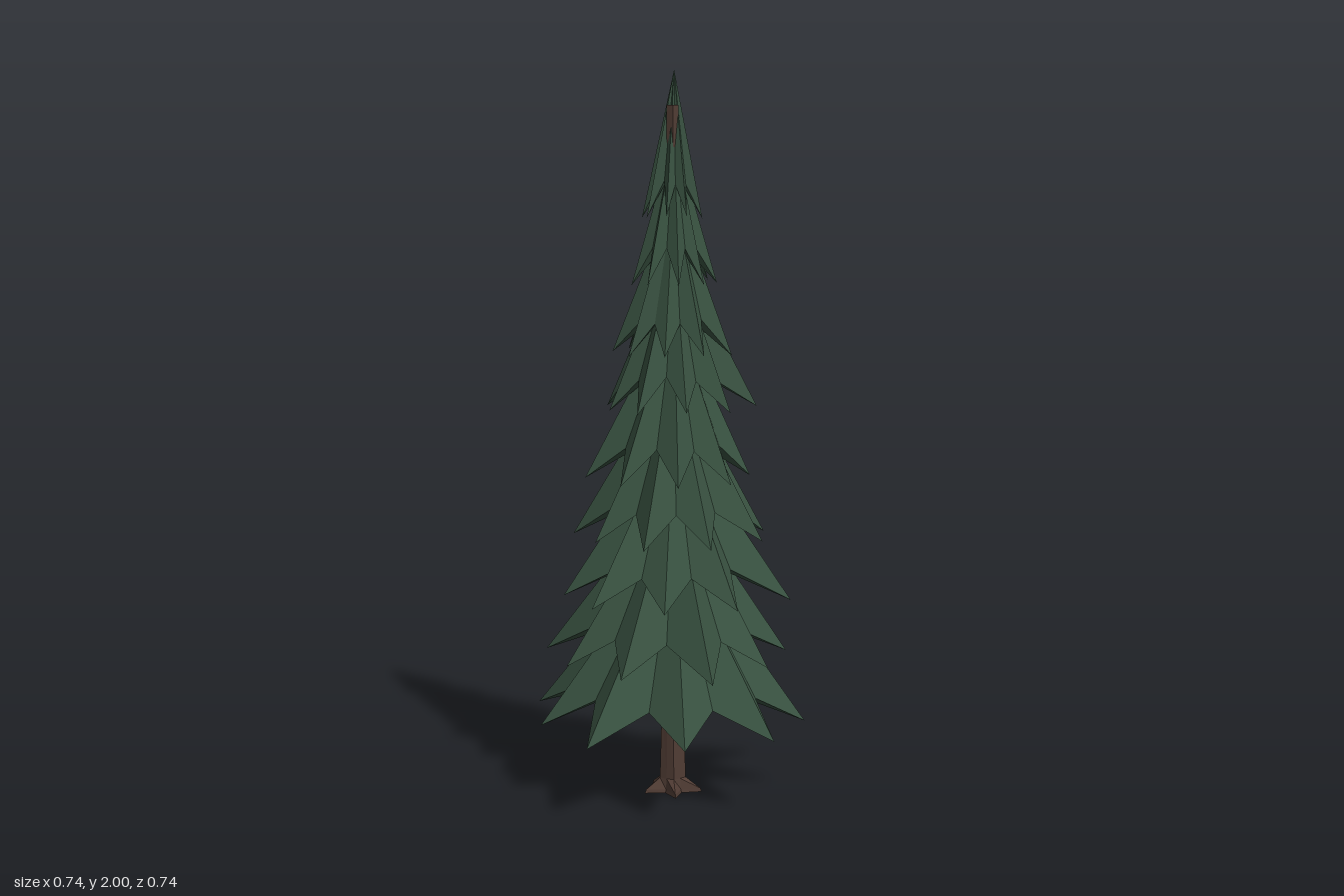
import * as THREE from 'three';

const TIPS = 9;

// small seeded generator for natural variation
function seeded(seed) {
  return () => {
    seed = (seed * 16807) % 2147483647;
    return seed / 2147483647;
  };
}

function facetedMesh(name, triangles, material) {
  const geometry = new THREE.BufferGeometry();
  geometry.setAttribute('position', new THREE.Float32BufferAttribute(triangles, 3));
  geometry.computeVertexNormals();
  const mesh = new THREE.Mesh(geometry, material);
  mesh.name = name;
  return mesh;
}

// angle in degrees, measured from +x towards +z
function polar(cx, cz, angle, radius, y) {
  const a = THREE.MathUtils.degToRad(angle);
  return [cx + radius * Math.cos(a), y, cz + radius * Math.sin(a)];
}

// tiers from bottom up: tip height, apex height, first tip angle,
// notch radius, notch rise above the tips, tip radii
const TIERS = [
  [0.205, 0.72, 6, 0.25, 0.075, [0.374, 0.388, 0.367, 0.399, 0.373, 0.414, 0.407, 0.347, 0.412]],
  [0.385, 0.87, 35, 0.22, 0.075, [0.314, 0.379, 0.34, 0.32, 0.361, 0.362, 0.322, 0.356, 0.324]],
  [0.555, 1.03, 15.5, 0.195, 0.08, [0.337, 0.3, 0.29, 0.31, 0.3, 0.29, 0.3, 0.311, 0.289]],
  [0.725, 1.2, 28, 0.165, 0.08, [0.275, 0.26, 0.27, 0.25, 0.275, 0.27, 0.255, 0.26, 0.265]],
  [0.89, 1.36, 8, 0.145, 0.085, [0.215, 0.23, 0.245, 0.235, 0.245, 0.24, 0.23, 0.225, 0.235]],
  [1.08, 1.53, 0, 0.12, 0.085, [0.232, 0.2, 0.185, 0.2, 0.185, 0.19, 0.175, 0.2, 0.2]],
  [1.23, 1.67, 20, 0.098, 0.09, [0.17, 0.16, 0.15, 0.16, 0.165, 0.155, 0.16, 0.15, 0.165]],
  [1.42, 1.83, 5, 0.072, 0.09, [0.12, 0.115, 0.13, 0.125, 0.118, 0.12, 0.13, 0.115, 0.12]],
  [1.6, 2.0, 25, 0.046, 0.09, [0.085, 0.08, 0.082, 0.09, 0.086, 0.08, 0.088, 0.09, 0.08]],
];

// star-shaped skirt: sharp ridges run to the tips, valleys to the notches
function branchTier([tipY, apexY, phase, notch, rise, radii], index, material, random) {
  const offset = 0.005 * tipY;
  const rim = [];
  radii.forEach((r, i) => {
    const angle = phase + (i * 360) / TIPS;
    rim.push(polar(offset, -offset, angle, r, tipY + 0.01 * random()));
    rim.push(polar(offset, -offset, angle + 180 / TIPS, notch * (0.95 + 0.1 * random()),
      tipY + rise + 0.015 * random()));
  });
  const apex = [0.01, apexY, -0.01];
  const under = [offset, tipY + 0.135, -offset];
  const triangles = [];
  rim.forEach((a, i) => {
    const b = rim[(i + 1) % rim.length];
    triangles.push(...apex, ...b, ...a, ...under, ...a, ...b);
  });
  return facetedMesh('branchTier' + (index + 1), triangles, material);
}

// fluted, tapering trunk with five pointed roots at the foot
function trunk(material) {
  const sides = 10;
  // height, ridge radius, groove radius
  const rings = [
    [0, 0.084, 0.038],
    [0.01, 0.08, 0.036],
    [0.04, 0.038, 0.032],
    [0.25, 0.032, 0.028],
    [1.905, 0.017, 0.014],
  ].map(([y, ridge, groove]) => Array.from({ length: sides }, (_, i) =>
    polar(0.005, 0.007, 14 + (i * 360) / sides, i % 2 ? groove : ridge, y)));
  const top = rings[rings.length - 1];
  const triangles = [];
  for (let i = 0; i < sides; i++) {
    const j = (i + 1) % sides;
    for (let k = 0; k < rings.length - 1; k++) {
      const a = rings[k][i], b = rings[k][j], c = rings[k + 1][j], d = rings[k + 1][i];
      triangles.push(...a, ...c, ...b, ...a, ...d, ...c);
    }
    // closed top and bottom
    triangles.push(0.005, 1.905, 0.007, ...top[j], ...top[i]);
    triangles.push(0.005, 0, 0.007, ...rings[0][i], ...rings[0][j]);
  }
  return facetedMesh('trunk', triangles, material);
}

export function createModel() {
  const foliage = new THREE.MeshStandardMaterial({ color: 0x385140 });
  foliage.name = 'needleGreen';
  const bark = new THREE.MeshStandardMaterial({ color: 0x503c34 });
  bark.name = 'barkBrown';

  const random = seeded(4711);
  const tree = new THREE.Group();
  tree.name = 'firTree';
  tree.add(trunk(bark));
  const crown = new THREE.Group();
  crown.name = 'crown';
  TIERS.forEach((tier, i) => crown.add(branchTier(tier, i, foliage, random)));
  tree.add(crown);
  return tree;
}
